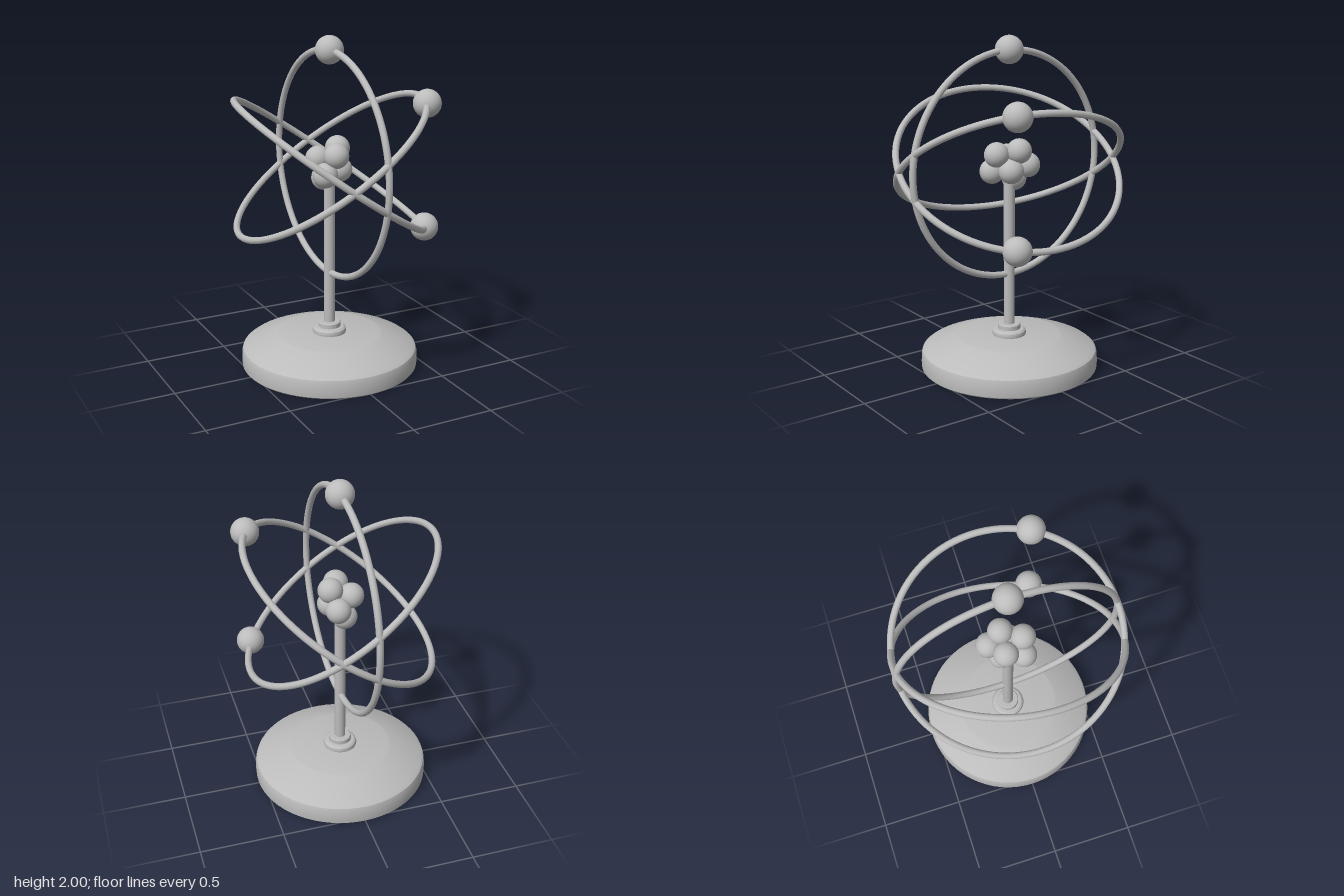
import * as THREE from 'three';
import { toCreasedNormals } from 'three/addons/utils/BufferGeometryUtils.js';

const CENTER_Y = 1.248;
const RING_R = 0.667;

export function createModel() {
  const model = new THREE.Group();
  model.name = 'atomSculpture';
  const grey = new THREE.MeshStandardMaterial({ color: 0xbcbcbc });
  grey.name = 'plainGrey';

  const add = (name, geometry, x = 0, y = 0, z = 0, parent = model) => {
    const mesh = new THREE.Mesh(geometry, grey);
    mesh.name = name;
    mesh.position.set(x, y, z);
    parent.add(mesh);
    return mesh;
  };
  const lathe = (points) => toCreasedNormals(
    new THREE.LatheGeometry(points.map(([r, y]) => new THREE.Vector2(r, y)), 64), 0.5);

  // Weighted foot with a sloping shoulder
  add('base', lathe([[0, 0], [0.525, 0], [0.533, 0.008], [0.535, 0.03], [0.533, 0.09],
    [0.526, 0.112], [0.505, 0.128], [0.32, 0.196], [0.305, 0.2], [0, 0.2]]));

  // Stepped collar around the stem
  add('collar', lathe([[0.1, 0.198], [0.103, 0.212], [0.099, 0.226], [0.088, 0.235],
    [0.068, 0.237], [0.068, 0.262], [0.063, 0.268], [0, 0.268]]));

  // Stem
  add('stem', new THREE.CylinderGeometry(0.033, 0.033, 1.0, 24), 0, 0.72, 0);

  // Nucleus cluster
  const nucleus = new THREE.Group();
  nucleus.name = 'nucleus';
  model.add(nucleus);
  const particle = new THREE.SphereGeometry(0.074, 32, 20);
  [
    [0.04, 1.24, -0.105], [0.065, 1.335, -0.025], [0, 1.315, 0.09], [-0.06, 1.285, -0.03],
    [-0.065, 1.205, 0.078], [0.055, 1.218, 0.025], [-0.015, 1.16, -0.045],
  ].forEach(([x, y, z]) => add('nucleusParticle', particle, x, y, z, nucleus));

  // Orbit rings, each set by the normal of its plane, with one electron riding on it
  const ring = new THREE.TorusGeometry(RING_R, 0.02, 10, 96);
  const electron = new THREE.SphereGeometry(0.083, 40, 24);
  const forward = new THREE.Vector3(0, 0, 1);
  [
    { normal: [1, 0, -0.03], at: [0, 1.917, 0] },
    { normal: [0.553, 0.82, 0.15], at: [0.48, 0.88, 0.29] },
    { normal: [0.553, -0.82, 0.15], at: [0.48, 1.617, 0.29] },
  ].forEach(({ normal, at }) => {
    const orbit = add('orbitRing', ring, 0, CENTER_Y, 0);
    orbit.quaternion.setFromUnitVectors(forward, new THREE.Vector3(...normal).normalize());
    add('electron', electron, ...at);
  });

  return model;
}
